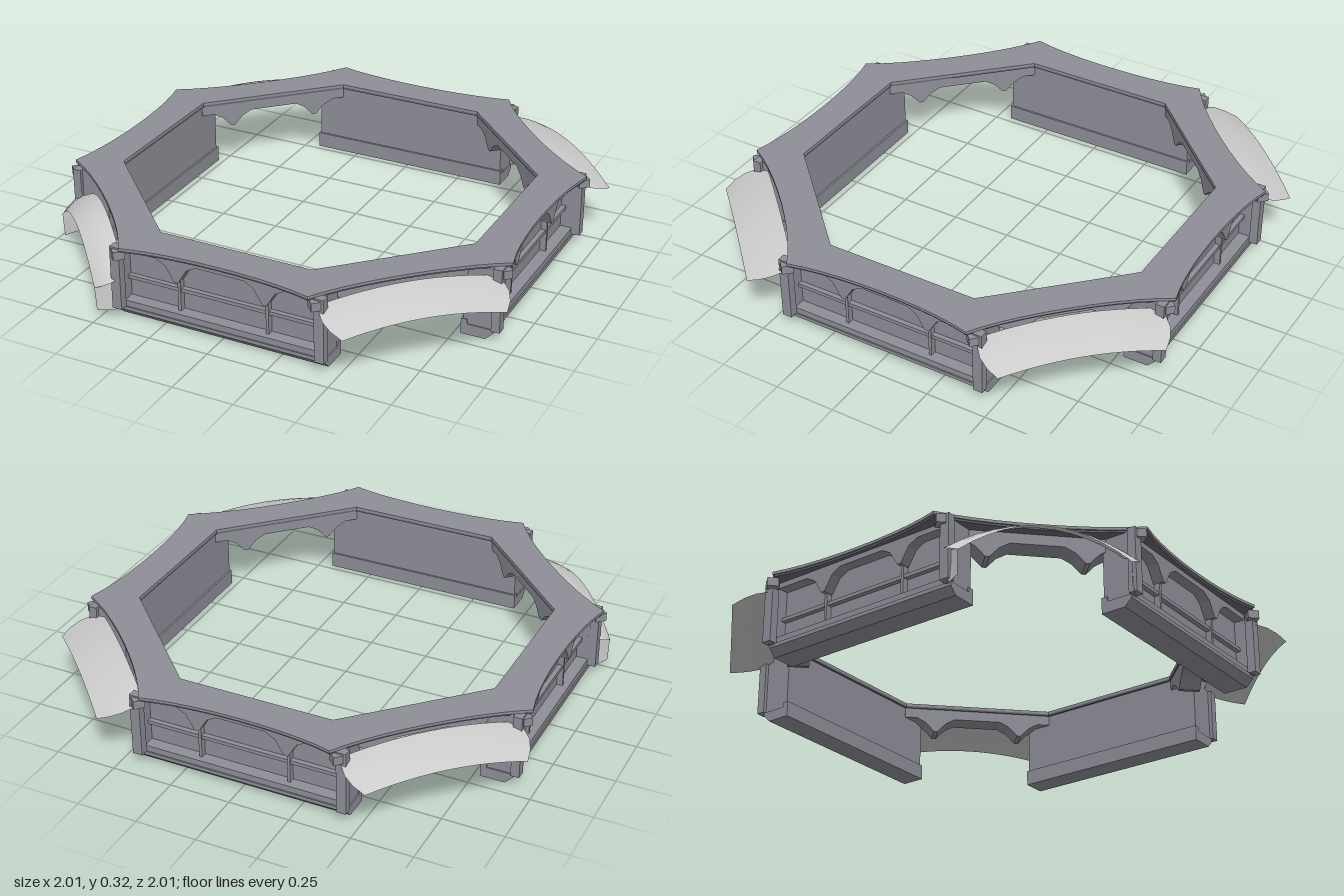
import * as THREE from 'three';

const stone = new THREE.MeshStandardMaterial({ color: 0x8e8e98, flatShading: true });
const dark = new THREE.MeshStandardMaterial({ color: 0x66666e, flatShading: true });
const cloth = new THREE.MeshStandardMaterial({ color: 0xcccccc, side: THREE.DoubleSide });

function add(parent, name, geometry, material = stone) {
  const mesh = new THREE.Mesh(geometry, material);
  mesh.name = name;
  parent.add(mesh);
  return mesh;
}

// Box given by its limits on each axis
function box(parent, name, x0, x1, y0, y1, z0, z1, material) {
  const mesh = add(parent, name, new THREE.BoxGeometry(x1 - x0, y1 - y0, z1 - z0), material);
  mesh.position.set((x0 + x1) / 2, (y0 + y1) / 2, (z0 + z1) / 2);
}

// Octagonal ring with sides bowed inward
function counterSlab(inset, thickness) {
  const turn = (x, y, k) => new THREE.Vector2(x, y).rotateAround(new THREE.Vector2(), k * Math.PI / 4);
  const shape = new THREE.Shape();
  const a = 0.956 - inset, h = a * 0.4142, c = 0.901 - inset;
  for (let k = 0; k < 8; k++) {
    const [p, q, r, s] = [[h, a], [0.2, c], [-0.2, c], [-h, a]].map(([x, y]) => turn(x, y, k));
    if (k === 0) shape.moveTo(p.x, p.y);
    shape.bezierCurveTo(q.x, q.y, r.x, r.y, s.x, s.y);
  }
  const hole = new THREE.Path();
  hole.setFromPoints(Array.from({ length: 8 }, (_, k) => turn(0.321, 0.774, -k)));
  shape.holes.push(hole);
  return new THREE.ExtrudeGeometry(shape, { depth: thickness, bevelEnabled: false, curveSegments: 10 })
    .rotateX(-Math.PI / 2);
}

// Beam with two pointed corbels, running from z0 to z1
function frieze(half, low, z0, z1) {
  const shape = new THREE.Shape();
  shape.moveTo(-half, 0.311);
  shape.lineTo(-half, low);
  for (const x of [-0.187, 0.187]) {
    shape.lineTo(x - 0.085, low);
    shape.lineTo(x - 0.045, low - 0.022);
    shape.lineTo(x - 0.008, 0.2);
    shape.lineTo(x + 0.008, 0.2);
    shape.lineTo(x + 0.045, low - 0.022);
    shape.lineTo(x + 0.085, low);
  }
  shape.lineTo(half, low);
  shape.lineTo(half, 0.311);
  return new THREE.ExtrudeGeometry(shape, { depth: z1 - z0, bevelEnabled: false }).translate(0, 0, z0);
}

function wall() {
  const g = new THREE.Group();
  g.name = 'wall';
  // Plinth with a chamfered outer foot
  const foot = new THREE.Shape([[0.775, 0], [0.875, 0], [0.905, 0.03], [0.905, 0.045], [0.775, 0.045]]
    .map(([x, y]) => new THREE.Vector2(x, y)));
  add(g, 'plinth', new THREE.ExtrudeGeometry(foot, { depth: 0.88, bevelEnabled: false })
    .rotateY(-Math.PI / 2).translate(0.44, 0, 0));
  box(g, 'innerSkirting', -0.44, 0.44, 0.045, 0.065, 0.775, 0.80);
  box(g, 'backPanel', -0.42, 0.42, 0.04, 0.311, 0.783, 0.85);
  box(g, 'lowerLedge', -0.42, 0.42, 0.045, 0.07, 0.85, 0.9);
  box(g, 'middleRail', -0.42, 0.42, 0.15, 0.165, 0.85, 0.87);
  add(g, 'archedFrieze', frieze(0.42, 0.283, 0.85, 0.895));
  for (const s of [-1, 1]) {
    const span = (name, a, b, ...rest) => box(g, name, Math.min(s * a, s * b), Math.max(s * a, s * b), ...rest);
    span('divider', 0.181, 0.193, 0.07, 0.21, 0.85, 0.875);
    span('endPlate', 0.415, 0.435, 0.04, 0.311, 0.783, 0.915);
    span('post', 0.41, 0.45, 0.045, 0.311, 0.9, 0.935);
  }
  return g;
}

// Arched cloth canopy; drop is how far its ends hang below the middle
function awning(reach, drop) {
  const geo = new THREE.PlaneGeometry(2, 1, 12, 4);
  const p = geo.attributes.position;
  for (let i = 0; i < p.count; i++) {
    const u = p.getX(i), v = 0.5 - p.getY(i);
    p.setXYZ(i, u * (0.34 + 0.1 * v - 0.125 * v * v),
      0.302 - 0.03 * v - 0.025 * v * v - drop * u * u, 0.925 + (reach - 0.925) * v);
  }
  geo.computeVertexNormals();
  return geo;
}

function opening(steep) {
  const g = new THREE.Group();
  g.name = 'opening';
  add(g, 'corbelledLintel', frieze(0.325, 0.262, 0.78, 0.87));
  add(g, 'awning', steep ? awning(1.04, 0.12) : awning(1.103, 0.036), cloth);
  for (const s of [-1, 1]) {
    box(g, 'awningBracket', s * 0.37 - 0.018, s * 0.37 + 0.018, 0.27, 0.305, 0.93, 0.975);
    if (!steep) continue;
    // Hanging tail at each end of the lowered awning
    const tail = new THREE.BufferGeometry();
    tail.setAttribute('position', new THREE.Float32BufferAttribute([
      s * 0.34, 0.185, 0.925, s * 0.315, 0.13, 1.04, s * 0.315, 0.03, 1.035, s * 0.34, 0.03, 0.965], 3));
    tail.setIndex([0, 1, 2, 0, 2, 3]);
    tail.computeVertexNormals();
    add(g, 'awningTail', tail, cloth);
  }
  return g;
}

export function createModel() {
  const model = new THREE.Group();
  model.name = 'octagonalCounter';
  add(model, 'counterTop', counterSlab(0, 0.012)).position.y = 0.313;
  add(model, 'counterRim', counterSlab(0.006, 0.008), dark).position.y = 0.305;
  // Walls on the four main sides, openings with awnings on the diagonals
  for (let k = 0; k < 8; k++) {
    const side = k % 2 ? opening(k === 7) : wall();
    side.rotation.y = k * Math.PI / 4;
    model.add(side);
  }
  return model;
}
